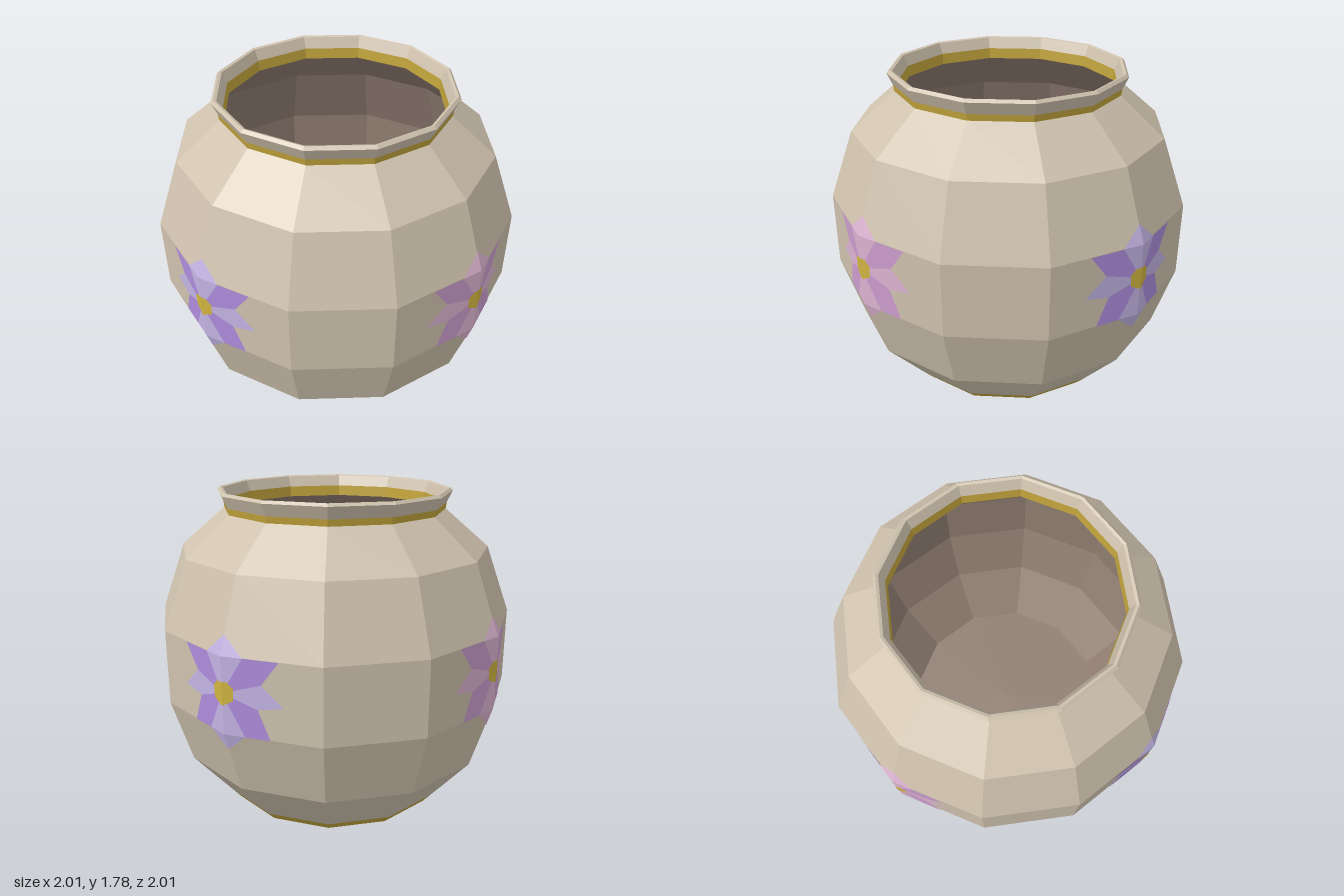
import * as THREE from 'three';

const SIDES = 12;

const mat = (name, color, side = THREE.FrontSide) => {
  const m = new THREE.MeshStandardMaterial({ color, side, flatShading: true });
  m.name = name;
  return m;
};

// outer wall as [radius, height]
const WALL = [[0.62, 0], [0.663, 0.05], [0.89, 0.32], [1, 0.68], [1, 1.09], [0.865, 1.46], [0.62, 1.67]];

// radius of the outer wall at a height
function wallRadius(y) {
  let i = 1;
  while (i < WALL.length - 1 && WALL[i][1] < y) i++;
  const [r0, y0] = WALL[i - 1], [r1, y1] = WALL[i];
  return r0 + (r1 - r0) * (y - y0) / (y1 - y0);
}

// triangles for the right half of a flower, in wall coordinates [across, height]
const C = [0, 0.9];
const HALF = {
  light: [
    [C, [0.11, 1.09], [0, 1.09]], [[0.11, 1.09], [0, 1.19], [0, 1.09]],
    [C, [0.18, 0.835], [0.31, 0.86]], [C, [0.31, 0.86], [0.2, 0.965]],
    [C, [0, 0.68], [0.11, 0.68]], [[0, 0.68], [0, 0.585], [0.11, 0.68]],
  ],
  dark: [
    [C, [0.2, 0.965], [0.29, 1.09]], [C, [0.29, 1.09], [0.11, 1.09]],
    [C, [0.11, 0.68], [0.24, 0.68]], [C, [0.24, 0.68], [0.18, 0.835]],
  ],
  centre: [
    [C, [0, 0.835], [0.057, 0.865]], [C, [0.057, 0.865], [0.06, 0.93]],
    [C, [0.06, 0.93], [0.03, 0.96]], [C, [0.03, 0.96], [0, 0.96]],
  ],
};

// mirrors the half and lays it on the two wall panels beside a corner
function layOnWall(half, lift) {
  const pos = [];
  const put = (u, v) => pos.push(u, v, wallRadius(v) - Math.abs(u) * Math.tan(Math.PI / SIDES) + lift);
  for (const [a, b, c] of half) {
    for (const [u, v] of [a, b, c]) put(u, v);
    for (const [u, v] of [a, c, b]) put(-u, v);
  }
  const g = new THREE.BufferGeometry();
  g.setAttribute('position', new THREE.Float32BufferAttribute(pos, 3));
  g.computeVertexNormals();
  return g;
}

export function createModel() {
  const group = new THREE.Group();
  group.name = 'flowerPot';

  const clay = mat('clay', 0xcfc2ae);
  const gold = mat('gold', 0xc2a43c);
  const inside = mat('inside', 0x8f7d71);
  const yellow = mat('yellow', 0xd0b440);
  const lightPink = mat('lightPink', 0xdcb4d2, THREE.DoubleSide);
  const darkPink = mat('darkPink', 0xcc9cce, THREE.DoubleSide);
  const lightPurple = mat('lightPurple', 0xc2b4e4, THREE.DoubleSide);
  const darkPurple = mat('darkPurple', 0xae8cdc, THREE.DoubleSide);

  const ring = (name, profile, material) => {
    const g = new THREE.LatheGeometry(profile.map(([r, y]) => new THREE.Vector2(r, y)), SIDES);
    const mesh = new THREE.Mesh(g, material);
    mesh.name = name;
    group.add(mesh);
  };

  // outside, from the foot up and over the rim
  ring('foot', [[0, 0], WALL[0], WALL[1]], gold);
  ring('body', WALL.slice(1), clay);
  ring('neckBand', [[0.62, 1.67], [0.625, 1.705]], gold);
  ring('rim', [[0.625, 1.705], [0.655, 1.77], [0.64, 1.785], [0.625, 1.78], [0.6, 1.72]], clay);

  // inside, from the neck down to the floor
  ring('innerNeckBand', [[0.6, 1.72], [0.595, 1.66]], gold);
  ring('innerWall', [[0.595, 1.66], [0.83, 1.44], [0.96, 1.08], [0.96, 0.69], [0.85, 0.34], [0.62, 0.05], [0, 0.05]], inside);

  // a flower on each side, pink front and back, purple left and right
  for (let i = 0; i < 4; i++) {
    const flower = new THREE.Group();
    flower.name = ['frontFlower', 'leftFlower', 'backFlower', 'rightFlower'][i];
    const pink = i % 2 === 0;
    const parts = [
      ['uprightPetals', HALF.light, 0.004, pink ? lightPink : lightPurple],
      ['diagonalPetals', HALF.dark, 0.004, pink ? darkPink : darkPurple],
      ['flowerCentre', HALF.centre, 0.007, yellow],
    ];
    for (const [name, half, lift, material] of parts) {
      const mesh = new THREE.Mesh(layOnWall(half, lift), material);
      mesh.name = name;
      flower.add(mesh);
    }
    flower.rotation.y = i * Math.PI / 2;
    group.add(flower);
  }
  return group;
}
